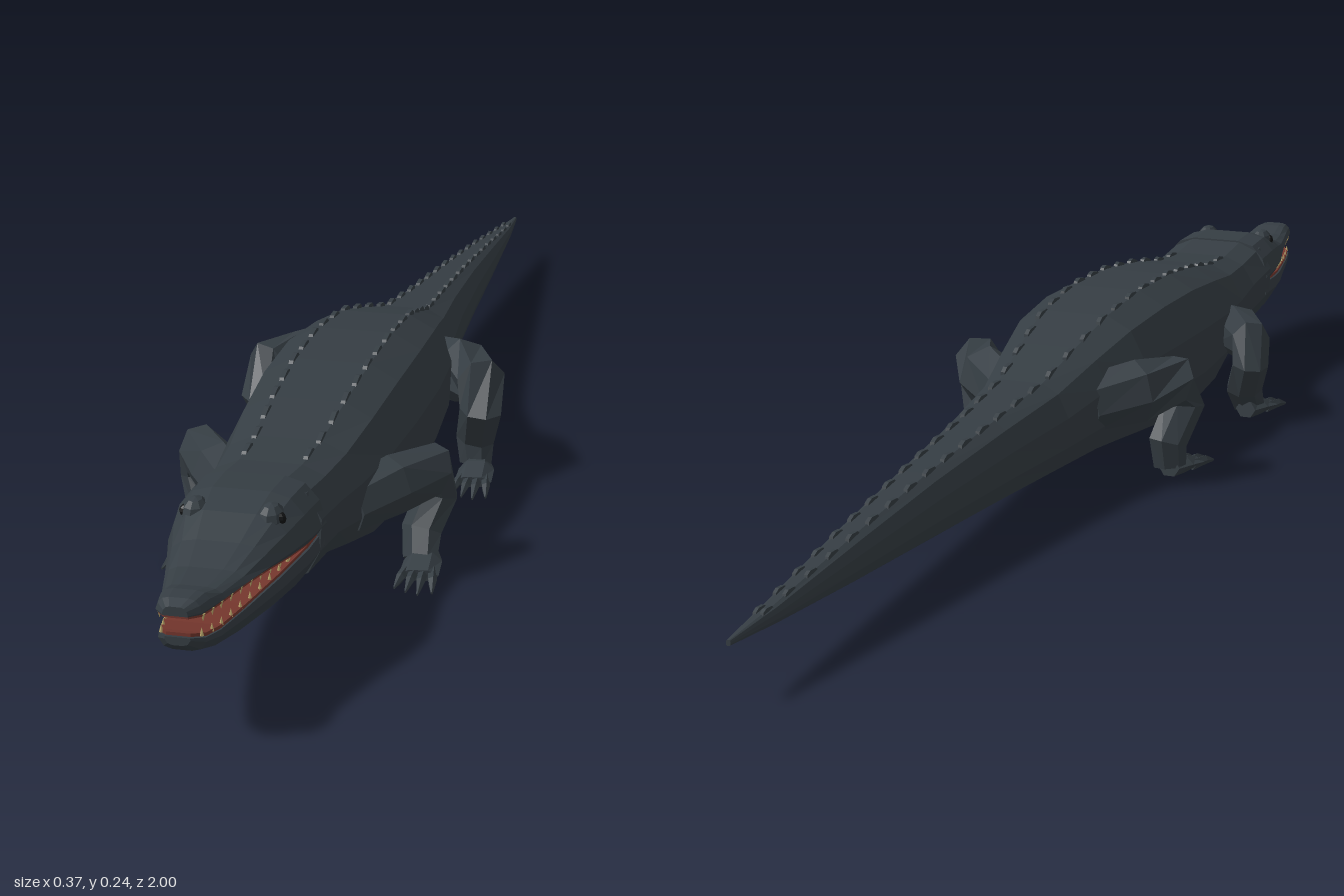
import * as THREE from 'three';

const mat = (name, color, extra = {}) => {
  const m = new THREE.MeshStandardMaterial({ color, flatShading: true, ...extra });
  m.name = name;
  return m;
};

// Skin over a list of rings, each counterclockwise seen from the far end, with both ends capped
function loft(rings) {
  const pos = [], n = rings[0].length;
  const tri = (...p) => p.forEach(v => pos.push(v.x, v.y, v.z));
  for (let k = 0; k < rings.length - 1; k++) {
    for (let i = 0; i < n; i++) {
      const j = (i + 1) % n, a = rings[k], b = rings[k + 1];
      tri(a[i], a[j], b[j]);
      tri(a[i], b[j], b[i]);
    }
  }
  const first = rings[0], last = rings[rings.length - 1];
  for (let i = 1; i < n - 1; i++) {
    tri(first[0], first[i + 1], first[i]);
    tri(last[0], last[i], last[i + 1]);
  }
  const g = new THREE.BufferGeometry();
  g.setAttribute('position', new THREE.Float32BufferAttribute(pos, 3));
  g.computeVertexNormals();
  return g;
}

// Loft of stations [z, halfWidth, top, bottom]; half is the +x outline from bottom to top
function hull(stations, half) {
  const outline = [...half, ...half.map(([x, y]) => [-x, y]).reverse()];
  return loft(stations.map(([z, w, top, bot]) => outline.map(([x, y]) =>
    new THREE.Vector3(x * w, (top + bot) / 2 + y * (top - bot) / 2, z))));
}

// Faceted limb through points [x, y, z, radiusAcross, radiusAlong]
function limb(points, sides = 7) {
  const c = points.map(p => new THREE.Vector3(p[0], p[1], p[2]));
  return loft(points.map((p, k) => {
    const t = c[Math.min(k + 1, c.length - 1)].clone().sub(c[Math.max(k - 1, 0)]).normalize();
    const u = new THREE.Vector3(1, 0, 0.25).addScaledVector(t, -(t.x + 0.25 * t.z)).normalize();
    const v = t.clone().cross(u);
    return Array.from({ length: sides }, (_, i) => {
      const a = (i / sides) * Math.PI * 2;
      return c[k].clone().addScaledVector(u, Math.cos(a) * p[3]).addScaledVector(v, Math.sin(a) * p[4]);
    });
  }));
}

// Linear lookup of column col in stations sorted by z
function at(stations, z, col) {
  for (let i = 1; i < stations.length; i++) {
    const a = stations[i - 1], b = stations[i];
    if (z <= b[0]) return THREE.MathUtils.lerp(a[col], b[col], (z - a[0]) / (b[0] - a[0]));
  }
  return stations[stations.length - 1][col];
}

const BODY = [
  [-1, 0.003, 0.08, 0.073], [-0.9, 0.012, 0.09, 0.067], [-0.7, 0.025, 0.116, 0.058],
  [-0.5, 0.037, 0.139, 0.051], [-0.3, 0.052, 0.158, 0.045], [-0.15, 0.07, 0.174, 0.043],
  [-0.05, 0.09, 0.202, 0.044], [0.05, 0.109, 0.227, 0.038], [0.17, 0.118, 0.239, 0.026],
  [0.3, 0.116, 0.237, 0.022], [0.42, 0.108, 0.224, 0.032], [0.52, 0.096, 0.207, 0.058],
  [0.6, 0.088, 0.204, 0.08], [0.69, 0.087, 0.215, 0.088],
];
const UPPER = [
  [0.67, 0.088, 0.215, 0.152], [0.73, 0.085, 0.217, 0.156], [0.78, 0.076, 0.207, 0.159],
  [0.83, 0.062, 0.19, 0.161], [0.88, 0.049, 0.177, 0.162], [0.93, 0.037, 0.176, 0.162],
  [0.96, 0.032, 0.184, 0.164], [0.985, 0.027, 0.184, 0.166], [1, 0.015, 0.179, 0.168],
];
const LOWER = [
  [0.67, 0.086, 0.15, 0.088], [0.73, 0.083, 0.148, 0.091], [0.8, 0.069, 0.141, 0.093],
  [0.88, 0.048, 0.132, 0.097], [0.94, 0.035, 0.13, 0.106], [0.975, 0.028, 0.135, 0.117],
  [0.993, 0.015, 0.14, 0.13],
];

export function createModel() {
  const root = new THREE.Group();
  root.name = 'crocodile';
  const skin = mat('slate skin', 0x353d43);
  const mouth = mat('mouth red', 0x74362d, { side: THREE.DoubleSide });
  const ivory = mat('ivory', 0xb3a066);
  const black = mat('eye black', 0x121415);
  const add = (name, geo, material, parent = root) => {
    const m = new THREE.Mesh(geo, material);
    m.name = name;
    parent.add(m);
    return m;
  };

  // Trunk and tail, then the two jaws
  add('body', hull(BODY, [[0.45, -1], [0.8, -0.8], [0.97, -0.35], [1, 0.3], [0.78, 0.8], [0.45, 1]]), skin);
  add('upperJaw', hull(UPPER, [[0.95, -1], [1, -0.75], [0.9, 0.15], [0.7, 0.78], [0.42, 1]]), skin);
  add('lowerJaw', hull(LOWER, [[0.4, -1], [0.78, -0.65], [1, 0.4], [0.98, 1]]), skin);

  // Thin linings inside the mouth
  const slab = [[1, -1], [1, 1]];
  add('palate', hull(UPPER.map(([z, w, , b]) => [z - 0.004, w * 0.93, b, b - 0.004]), slab), mouth);
  add('mouthFloor', hull(LOWER.map(([z, w, t]) => [z - 0.004, w * 0.95, t + 0.004, t]), slab), mouth);

  // Teeth along both jaws
  const tooth = new THREE.ConeGeometry(0.0028, 0.01, 5);
  for (let i = 0; i < 10; i++) {
    const z = 0.77 + i * 0.023;
    for (const s of [-1, 1]) {
      const up = add('upperTooth', tooth, ivory);
      up.position.set(s * at(UPPER, z, 1) * 0.88, at(UPPER, z, 3) - 0.006, z);
      up.rotation.x = Math.PI;
      add('lowerTooth', tooth, ivory)
        .position.set(s * at(LOWER, z, 1) * 0.88, at(LOWER, z, 2) + 0.007, z);
    }
  }

  // Brow bumps with eyes on their outer sides
  for (const s of [-1, 1]) {
    const brow = add('brow', new THREE.SphereGeometry(0.02, 8, 6), skin);
    brow.position.set(s * 0.046, 0.198, 0.765);
    brow.scale.set(0.8, 0.95, 1.2);
    add('eye', new THREE.SphereGeometry(0.008, 8, 6), black).position.set(s * 0.057, 0.2, 0.769);
  }

  // Two rows of low scutes that draw together along the tail
  const fin = new THREE.Shape();
  fin.moveTo(-0.022, -0.008);
  fin.lineTo(0.022, -0.008);
  fin.lineTo(0.01, 0.003);
  fin.lineTo(-0.008, 0.006);
  fin.lineTo(-0.018, 0.003);
  const blade = new THREE.ExtrudeGeometry(fin, { depth: 0.006, bevelEnabled: false });
  blade.translate(0, 0, -0.003);
  blade.rotateY(-Math.PI / 2);
  for (let i = 0; i < 29; i++) {
    const z = 0.57 - i * 0.053;
    const size = z > -0.4 ? 1 : 1 - (-0.4 - z) * 0.5;
    for (const s of [-1, 1]) {
      const b = add('scute', blade, skin);
      b.position.set(s * at(BODY, z, 1) * 0.43, at(BODY, z, 2), z);
      b.rotation.x = Math.atan2(at(BODY, z - 0.03, 2) - at(BODY, z + 0.03, 2), 0.06);
      b.scale.set(size, size, size);
    }
  }

  // Legs, built for the left and mirrored for the right
  const LEGS = {
    frontLeg: {
      path: [[0.07, 0.115, 0.5, 0.035, 0.035], [0.115, 0.125, 0.44, 0.036, 0.04],
        [0.156, 0.126, 0.378, 0.03, 0.036], [0.159, 0.092, 0.368, 0.028, 0.028],
        [0.143, 0.048, 0.39, 0.028, 0.021], [0.145, 0.016, 0.41, 0.024, 0.015]],
      foot: [0.15, 0.43],
    },
    hindLeg: {
      path: [[0.06, 0.125, -0.05, 0.04, 0.042], [0.115, 0.135, 0, 0.042, 0.046],
        [0.152, 0.14, 0.055, 0.035, 0.038], [0.157, 0.105, 0.075, 0.03, 0.032],
        [0.143, 0.052, 0.045, 0.028, 0.022], [0.145, 0.017, 0.05, 0.024, 0.016]],
      foot: [0.15, 0.085],
    },
  };
  for (const [name, { path, foot: [fx, fz] }] of Object.entries(LEGS)) {
    for (const s of [-1, 1]) {
      const leg = new THREE.Group();
      leg.name = (s > 0 ? 'left' : 'right') + name[0].toUpperCase() + name.slice(1);
      leg.scale.x = s;
      root.add(leg);
      add('limb', limb(path), skin, leg);
      add('foot', limb([[fx - 0.002, 0.016, fz - 0.045, 0.016, 0.014], [fx, 0.015, fz - 0.015, 0.025, 0.014],
        [fx + 0.002, 0.009, fz + 0.022, 0.026, 0.009]], 6), skin, leg);
      // Four splayed toes with a pointed end
      for (let i = 0; i < 4; i++) {
        const d = (i - 1.5) / 1.5, reach = 0.072 - 0.014 * Math.abs(d - 0.2);
        add('toe', limb([[fx + d * 0.016, 0.01, fz, 0.007, 0.008],
          [fx + d * 0.021 + 0.002, 0.009, fz + reach * 0.6, 0.006, 0.007],
          [fx + d * 0.025 + 0.003, 0.003, fz + reach, 0.0015, 0.002]], 5), skin, leg);
      }
    }
  }
  return root;
}
